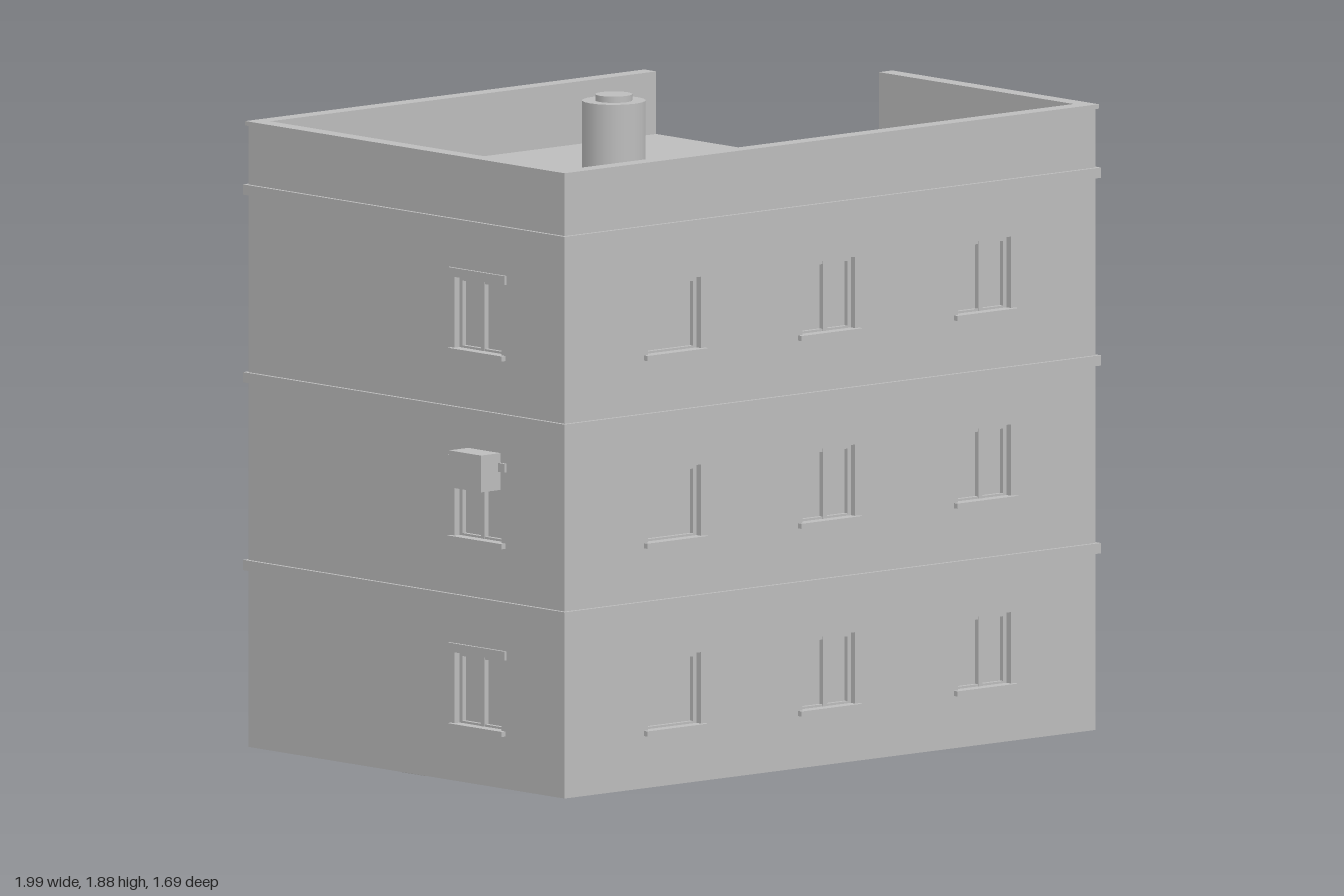
import * as THREE from 'three';

const concrete = new THREE.MeshStandardMaterial({ color: 0xbcbcbc });
concrete.name = 'grey concrete';

const X0 = -0.93, X1 = 0.98, Z0 = -0.45, Z1 = 0.83; // outer walls
const T = 0.042, BASE = 0.05, TOP = 1.75;
const FLOORS = [0.2, 0.71, 1.22]; // sill heights
const WW = 0.19, WH = 0.2;        // window opening

function add(parent, name, geometry, x = 0, y = 0, z = 0) {
  const mesh = new THREE.Mesh(geometry, concrete);
  mesh.name = name;
  mesh.position.set(x, y, z);
  parent.add(mesh);
  return mesh;
}

// box given by its limits on each axis
function box(parent, name, x0, x1, y0, y1, z0, z1) {
  return add(parent, name, new THREE.BoxGeometry(x1 - x0, y1 - y0, z1 - z0),
    (x0 + x1) / 2, (y0 + y1) / 2, (z0 + z1) / 2);
}

// thin bar between two points
function rod(parent, name, a, b, r = 0.004) {
  const p = new THREE.Vector3(...a), q = new THREE.Vector3(...b);
  const d = q.clone().sub(p);
  const mesh = add(parent, name, new THREE.CylinderGeometry(r, r, d.length(), 6));
  mesh.position.copy(p).add(q).multiplyScalar(0.5);
  mesh.quaternion.setFromUnitVectors(new THREE.Vector3(0, 1, 0), d.normalize());
  return mesh;
}

// flat broken slab lying in xz, rising by its thickness
function chunk(parent, name, pts, h, pos, rot) {
  const shape = new THREE.Shape(pts.map(([x, z]) => new THREE.Vector2(x, -z)));
  const g = new THREE.ExtrudeGeometry(shape, { depth: h, bevelEnabled: false });
  g.rotateX(-Math.PI / 2);
  const mesh = add(parent, name, g, ...pos);
  mesh.rotation.set(...rot);
  return mesh;
}

// pane, frame, sill and optional lintel, local +z pointing outwards
function windowUnit(wall, u, y, { lintel = true, mullion = true }) {
  const g = new THREE.Group();
  g.name = 'window';
  g.position.set(u, y, 0);
  const w = WW / 2;
  box(g, 'pane', -w, w, 0, WH, -T + 0.002, -0.03);
  for (const s of [-1, 1]) box(g, 'frameSide', s * (w - 0.006) - 0.006, s * (w - 0.006) + 0.006, 0, WH, -0.03, -0.018);
  box(g, 'frameTop', -w, w, WH - 0.012, WH, -0.03, -0.018);
  box(g, 'frameBottom', -w, w, 0, 0.012, -0.03, -0.018);
  if (mullion) box(g, 'mullion', -0.007, 0.007, 0, WH, -0.03, -0.016);
  box(g, 'sill', -w - 0.015, w + 0.015, -0.008, 0.006, -0.03, 0.014);
  if (lintel) box(g, 'lintel', -w - 0.02, w + 0.02, WH, WH + 0.024, -0.01, 0.008);
  wall.add(g);
}

// wall panel with window holes; windows are [u, sill height, options]
function wall(parent, name, outline, windows, pos, angle) {
  const g = new THREE.Group();
  g.name = name;
  g.position.set(...pos);
  g.rotation.y = angle;
  const shape = new THREE.Shape(outline.map(p => new THREE.Vector2(...p)));
  for (const [u, y, options = {}] of windows) {
    const w = WW / 2;
    shape.holes.push(new THREE.Path([[u - w, y], [u - w, y + WH], [u + w, y + WH], [u + w, y]]
      .map(p => new THREE.Vector2(...p))));
    windowUnit(g, u, y, options);
  }
  const geo = new THREE.ExtrudeGeometry(shape, { depth: T, bevelEnabled: false });
  add(g, name + 'Panel', geo, 0, 0, -T);
  parent.add(g);
  return g;
}

// storey band or coping strip on a wall
function band(g, u0, u1, y0, y1, out = 0.01) {
  box(g, 'band', u0 - out, u1 + out, y0, y1, -0.005, out);
}

export function createModel() {
  const model = new THREE.Group();
  model.name = 'damagedBuilding';

  // front wall
  const front = wall(model, 'frontWall', [[X0, BASE], [X1, BASE], [X1, TOP], [X0, TOP]],
    FLOORS.flatMap(y => [-0.535, 0.02, 0.58].map((x, i) => [x, y, { lintel: false, mullion: i > 0 }])),
    [0, 0, Z1], 0);
  for (const y of [0.53, 1.04, 1.55]) band(front, X0, X1, y, y + 0.028);
  band(front, X0, X1, TOP - 0.012, TOP, 0.006);

  // right side as seen from the front, with the top rear corner blown out
  const side = wall(model, 'brokenSideWall',
    [[-Z1, BASE], [-Z0, BASE], [-Z0, 1.22], [0.06, 1.22], [0.06, 1.57], [0, 1.58], [0, TOP], [-Z1, TOP]],
    [[-0.48, 0.2], [-0.48, 0.71], [-0.48, 1.22], [0.1, 0.2], [0.1, 0.71]],
    [X1, 0, 0], Math.PI / 2);
  for (const y of [0.53, 1.04]) band(side, -Z1, -Z0, y, y + 0.028);
  band(side, -Z1, 0.04, 1.55, 1.578);
  band(side, -Z1, -0.006, TOP - 0.012, TOP, 0.006);

  // opposite side
  const other = wall(model, 'soundSideWall', [[Z0, BASE], [Z1, BASE], [Z1, TOP], [Z0, TOP]],
    FLOORS.map(y => [0.48, y]), [X0, 0, 0], -Math.PI / 2);
  for (const y of [0.53, 1.04, 1.55]) band(other, Z0, Z1, y, y + 0.028);
  band(other, Z0, Z1, TOP - 0.012, TOP, 0.006);

  // back wall with door notch and ragged breach
  const back = wall(model, 'backWall',
    [[-X1, BASE], [-0.13, BASE], [-0.13, 0.43], [0.08, 0.43], [0.08, BASE], [0.35, BASE],
      [0.34, 0.25], [0.36, 0.4], [0.42, 0.44], [0.47, 0.41], [0.52, 0.43], [0.58, 0.38],
      [0.56, 0.26], [0.58, 0.18], [0.57, BASE], [-X0, BASE], [-X0, TOP], [-0.5, TOP], [-0.5, 1.08], [-X1, 1.08]],
    [[-0.81, 0.2], [-0.5, 0.2], ...[-0.74, -0.265, 0.215, 0.69].map(u => [u, 0.71]),
      ...[-0.265, 0.215, 0.69].map(u => [u, 1.22])],
    [0, 0, Z0], Math.PI);
  for (const y of [0.53, 1.04]) band(back, -X1, -X0, y, y + 0.028);
  band(back, -0.49, -X0, 1.55, 1.578);
  band(back, -0.494, -X0, TOP - 0.012, TOP, 0.006);
  box(back, 'door', -0.13, 0.08, BASE, 0.43, -T, -0.03);
  for (const u of [-0.14, 0.08]) box(back, 'doorJamb', u, u + 0.01, BASE, 0.44, -0.02, 0.006);

  // floor slabs, roof and inner walls
  const e = T - 0.005;
  for (const y of [0.53, 1.04]) box(model, 'floorSlab', X0 + e, X1 - e, y, y + 0.028, Z0 + e, Z1 - e);
  box(model, 'roof', X0 + e, X1 - e, 1.55, 1.58, -0.05, Z1 - e);
  box(model, 'roofRear', X0 + e, 0.5, 1.55, 1.58, Z0 + e, -0.05);
  box(model, 'upperPartition', 0.47, 0.5, 1.06, 1.57, Z0 + 0.01, -0.05);
  box(model, 'upperCrossWall', 0.47, X1 - 0.005, 1.06, 1.57, -0.05, -0.02);
  box(model, 'groundPartition', -0.13, -0.1, BASE, 0.54, Z0 + e, 0);

  // wall stumps and bent bars on the broken corner
  for (const [x0, x1, y] of [[0.53, 0.62, 1.19], [0.65, 0.77, 1.22], [0.79, 0.915, 1.25], [0.935, 0.98, 1.22]]) {
    box(model, 'wallStump', x0, x1, 1.07, y, Z0, -0.405);
  }
  [0.53, 0.6, 0.67, 0.74, 0.81, 0.88, 0.95].forEach((x, i) => {
    rod(model, 'reinforcingBar', [x, 1.055, -0.44], [x + (i % 3 - 1) * 0.006, 1.045 + (i % 3) * 0.01, i % 2 ? -0.5 : -0.53]);
  });

  // water tank on a stand
  const tank = new THREE.Group();
  tank.name = 'waterTank';
  tank.position.set(-0.46, 0, 0.5);
  add(tank, 'tankBody', new THREE.CylinderGeometry(0.086, 0.086, 0.19, 20), 0, 1.77, 0);
  add(tank, 'tankLid', new THREE.CylinderGeometry(0.05, 0.05, 0.018, 20), 0, 1.873, 0);
  box(tank, 'standTop', -0.077, 0.077, 1.66, 1.675, -0.077, 0.077);
  for (const x of [-0.067, 0.067]) for (const z of [-0.067, 0.067]) {
    box(tank, 'standLeg', x - 0.007, x + 0.007, 1.58, 1.665, z - 0.007, z + 0.007);
  }
  model.add(tank);

  // air conditioner
  box(model, 'airConditioner', -1, X0, 0.86, 0.96, 0.44, 0.57);

  // torn canopy over the entrance with bars sticking out
  const canopy = add(model, 'canopy', new THREE.BoxGeometry(0.35, 0.045, 0.19), -0.215, 0.485, -0.53);
  canopy.rotation.x = 0.55;
  rod(model, 'canopyBar', [-0.37, 0.54, -0.61], [-0.05, 0.575, -0.665], 0.006);
  [[-0.36, 0.55, -0.66], [-0.22, 0.58, -0.665], [-0.07, 0.57, -0.66],
    [-0.3, 0.45, -0.65], [-0.14, 0.43, -0.66]].forEach(([x, y, z]) => {
    rod(model, 'canopyBar', [x - 0.01, 0.53, -0.6], [x, y, z]);
  });

  // fallen rubble behind the broken corner
  const rubble = new THREE.Group();
  rubble.name = 'rubble';
  chunk(rubble, 'largeSlab', [[-0.14, 0.02], [-0.04, -0.13], [0.15, -0.03], [0.1, 0.1], [-0.02, 0.12], [-0.13, 0.09]],
    0.08, [0.69, 0.05, -0.71], [-0.18, 0, 0.2]);
  chunk(rubble, 'middleSlab', [[-0.08, 0.03], [0.02, -0.09], [0.09, -0.05], [0, 0.09]],
    0.07, [0.78, 0.03, -0.65], [0.1, 0, 0.1]);
  chunk(rubble, 'smallBlock', [[-0.04, -0.04], [0.04, -0.05], [0.04, 0.04], [-0.03, 0.05]],
    0.045, [0.585, 0.045, -0.6], [0.1, 0.1, -0.1]);
  chunk(rubble, 'smallBlock', [[-0.05, 0.02], [0.01, -0.06], [0.07, -0.02], [0.02, 0.05]],
    0.045, [0.76, 0.045, -0.57], [0, 0, 0.15]);
  chunk(rubble, 'underSlab', [[-0.1, -0.06], [0.08, -0.08], [0.1, 0.06], [-0.08, 0.08]],
    0.03, [0.67, 0.02, -0.7], [0, 0.3, 0.12]);
  // pieces inside the breach
  chunk(rubble, 'innerBlock', [[-0.03, -0.05], [0.03, -0.04], [0.025, 0.05], [-0.03, 0.045]],
    0.045, [-0.68, 0.005, -0.025], [0, 0, 0.15]);
  chunk(rubble, 'innerBlock', [[-0.05, -0.04], [0.05, -0.03], [0.04, 0.05], [-0.04, 0.04]],
    0.05, [-0.49, 0.045, -0.2], [0, 0.4, 0.05]);
  model.add(rubble);

  return model;
}
